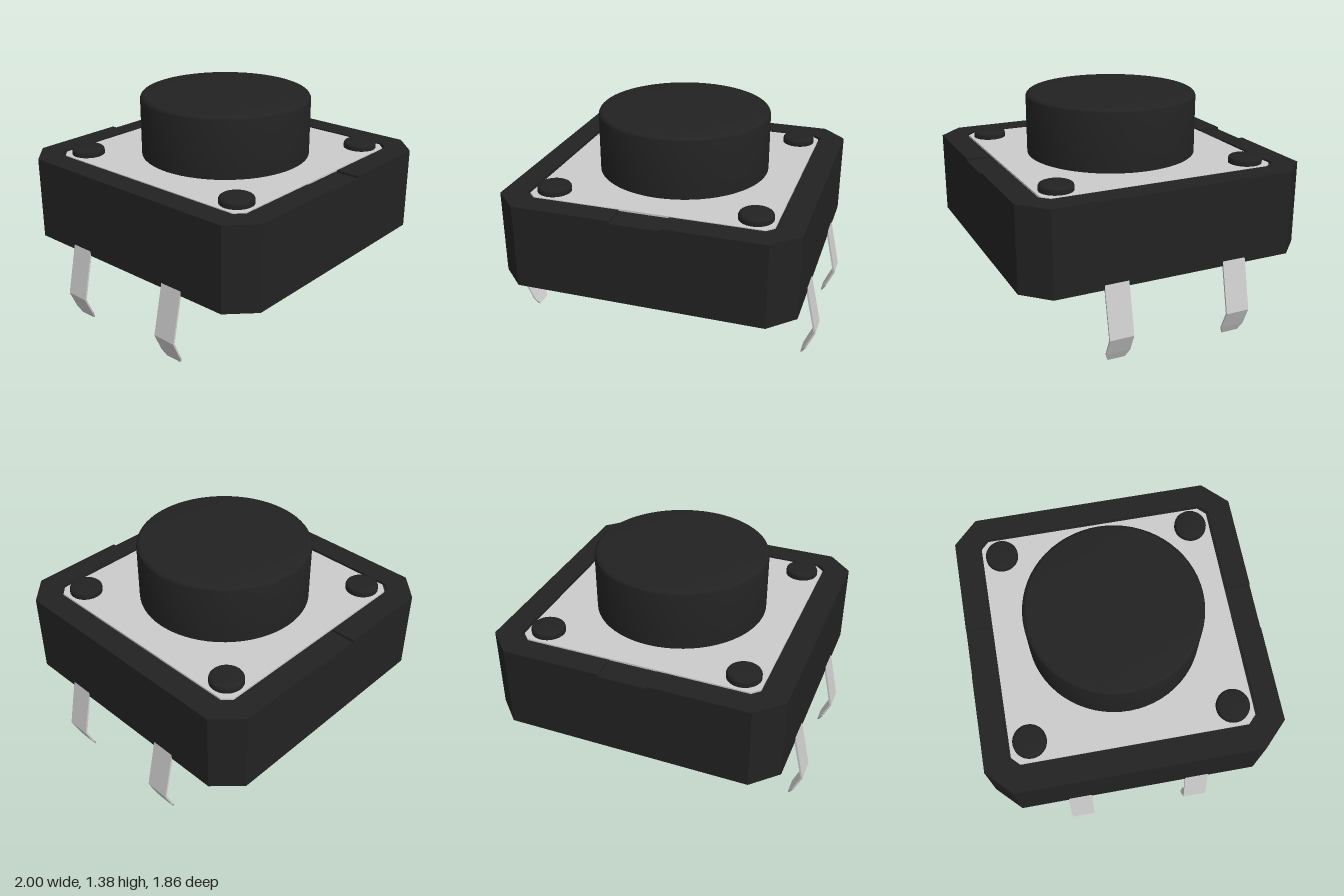
import * as THREE from 'three';
import { toCreasedNormals } from 'three/addons/utils/BufferGeometryUtils.js';

const black = new THREE.MeshStandardMaterial({ color: 0x222222 });
const metal = new THREE.MeshStandardMaterial({ color: 0xcccccc });

const BASE = 0.465, FLOOR = 0.985, TOP = 1.0;

function add(parent, name, geometry, material) {
  const mesh = new THREE.Mesh(geometry, material);
  mesh.name = name;
  parent.add(mesh);
  return mesh;
}

// Corners of a square of half size h with corners cut by c
function octagon(h, c) {
  const k = h - c;
  return [[h, -k], [h, k], [k, h], [-k, h], [-h, k], [-h, -k], [-k, -h], [k, -h]];
}

// Upright slab from a plan outline, between two heights
function slab(points, y0, y1) {
  const shape = new THREE.Shape(points.map(([x, y]) => new THREE.Vector2(x, y)));
  const g = new THREE.ExtrudeGeometry(shape, { depth: y1 - y0, bevelEnabled: false });
  return g.rotateX(-Math.PI / 2).translate(0, y0, 0);
}

// Round cap with a filleted top edge
function roundCap(radius, y0, y1, fillet, segments) {
  const profile = [new THREE.Vector2(0, y0), new THREE.Vector2(radius, y0)];
  for (let i = 0; i <= 6; i++) {
    const a = (i / 6) * Math.PI / 2;
    profile.push(new THREE.Vector2(
      radius - fillet + fillet * Math.cos(a), y1 - fillet + fillet * Math.sin(a)));
  }
  profile.push(new THREE.Vector2(0, y1));
  return toCreasedNormals(new THREE.LatheGeometry(profile, segments), 0.6);
}

// Bent strip with a tapered tip; each row is [x, y, half width]
function pinGeometry() {
  const rows = [[0.923, 0.5, 0.077], [0.994, 0.175, 0.077], [0.943, 0.06, 0.077], [0.917, 0.008, 0.055]];
  const g = new THREE.BoxGeometry(2, 3, 2, 1, 3, 1);
  const p = g.attributes.position;
  for (let i = 0; i < p.count; i++) {
    const [x, y, w] = rows[Math.round(1.5 - p.getY(i))];
    p.setXYZ(i, x + p.getX(i) * 0.006, y, p.getZ(i) * w);
  }
  const flat = g.toNonIndexed();
  flat.computeVertexNormals();
  return flat;
}

export function createModel() {
  const model = new THREE.Group();
  model.name = 'pushSwitch';

  // Housing with a raised rim, broken by a notch at front and back
  const housing = new THREE.Group();
  housing.name = 'housing';
  model.add(housing);
  add(housing, 'housingBody', slab(octagon(0.93, 0.155), BASE, FLOOR), black);
  const outer = octagon(0.93, 0.155).filter(([x]) => x > 0);
  const inner = octagon(0.775, 0.055).filter(([x]) => x > 0);
  const order = (pts) => pts.sort((a, b) => a[1] - b[1] || a[0] - b[0]);
  const sortedOuter = order(outer), sortedInner = order(inner);
  const half = [
    [0.155, -0.93], ...sortedOuter, [0.155, 0.93],
    [0.155, 0.775], ...sortedInner.reverse(), [0.155, -0.775],
  ];
  for (const side of [1, -1]) {
    const rim = add(housing, side > 0 ? 'leftRim' : 'rightRim', slab(half, FLOOR, TOP), black);
    if (side < 0) rim.rotation.y = Math.PI;
  }

  // Metal cover plate sitting inside the rim
  add(model, 'coverPlate', slab(octagon(0.76, 0.05), FLOOR - 0.01, TOP - 0.003), metal);

  // Central push button
  add(model, 'button', roundCap(0.548, 0.98, 1.39, 0.03, 64), black);

  // Corner rivets and pins
  const rivet = roundCap(0.105, 0.98, 1.04, 0.02, 32);
  const pin = pinGeometry();
  for (const sx of [1, -1]) {
    for (const sz of [1, -1]) {
      const corner = (sz > 0 ? 'front' : 'back') + (sx > 0 ? 'Left' : 'Right');
      add(model, corner + 'Rivet', rivet, black).position.set(sx * 0.633, 0, sz * 0.633);
      const leg = add(model, corner + 'Pin', pin, metal);
      leg.position.z = sz * 0.39;
      if (sx < 0) leg.rotation.y = Math.PI;
    }
  }
  return model;
}
